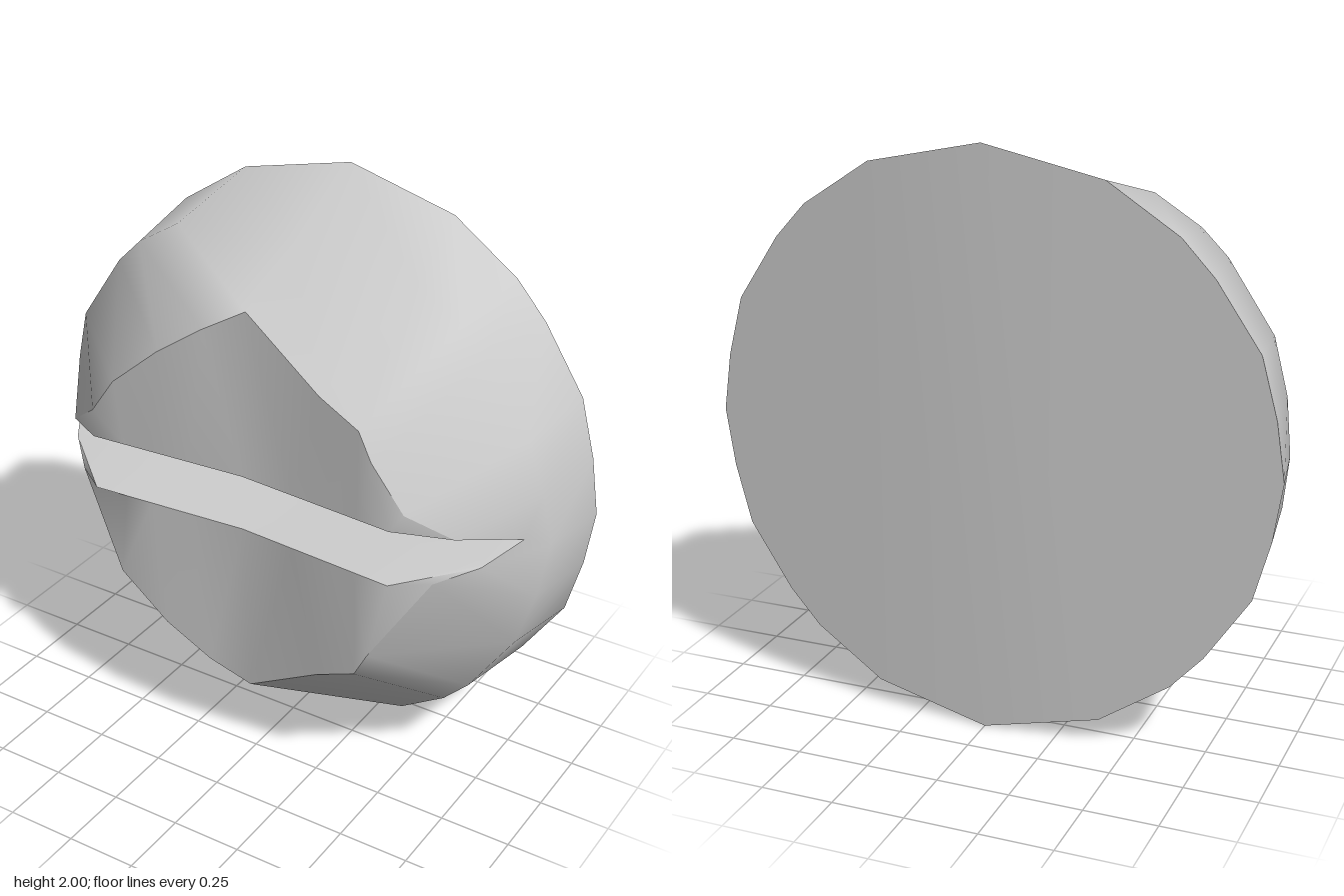
import * as THREE from 'three';
import { mergeVertices } from 'three/addons/utils/BufferGeometryUtils.js';

const material = new THREE.MeshStandardMaterial({ color: 0xcccccc, side: THREE.DoubleSide });

// Complete a quarter row (from +x to the centre line) with its mirror image.
const mirrorX = (row) => row.map(([x, y, z]) => [-x, y, z]);
const mirrorRow = (q) => [...q, ...mirrorX(q.slice(0, -1)).reverse()];
const flipY = (row) => row.map(([x, y, z]) => [x, 2 - y, z]);

// Smooth skin through rows of points; coincident points share a normal.
function skin(name, rows, flip = false) {
  const n = rows[0].length;
  const index = [];
  for (let r = 0; r < rows.length - 1; r++) {
    for (let c = 0; c < n - 1; c++) {
      const a = r * n + c, b = a + 1, d = a + n, e = d + 1;
      index.push(...(flip ? [a, d, b, b, d, e] : [a, b, d, b, e, d]));
    }
  }
  const raw = new THREE.BufferGeometry();
  raw.setAttribute('position', new THREE.Float32BufferAttribute(rows.flat(2), 3));
  raw.setIndex(index);
  const geometry = mergeVertices(raw);
  geometry.computeVertexNormals();
  const mesh = new THREE.Mesh(geometry, material);
  mesh.name = name;
  return mesh;
}

// Back rim, folded slightly along x = 0, and the widest ring of the dome.
const rim = mirrorRow([[0.985, 1], [0.955, 1.2], [0.9, 1.405], [0.75, 1.63], [0.64, 1.75], [0.4, 1.91], [0, 2]]
  .map(([x, y]) => [x, y, -0.355 + 0.056 * x]));
const waist = mirrorRow([[0.94, 1, -0.05], [0.915, 1.19, -0.02], [0.86, 1.38, 0], [0.7, 1.62, 0],
  [0.61, 1.71, 0], [0.45, 1.81, 0], [0, 1.843, 0]]);

// Outline of the front face above the slot, from +x to -x.
const crown = [[0.61, 1.2, 0.335], [0.5, 1.36, 0.35], [0.45, 1.455, 0.345], [0.3, 1.525, 0.33], [0, 1.715, 0.28],
  [-0.14, 1.635, 0.32], [-0.3, 1.525, 0.345], [-0.48, 1.37, 0.352], [-0.57, 1.24, 0.353]];

const slotEnd = [0.88, 1.04, 0.025];

// Front edge: the slot ends on both sides with the crown between them.
const edgeRow = (ends, middle) => [...ends, ...middle, ...mirrorX(ends).reverse()];

// Slot lip: straight across, with the front face folded along x = 0.
const lipRow = (ends, y) => mirrorRow([...ends, [0.57, y, 0.355],
  ...[0.45, 0.35, 0.2, 0].map((x) => [x, y, 0.315 + 0.07 * x])]);

// Row inside the slot at a fixed height and depth, meeting the slot ends.
const slotRow = (lip, y, z) => lip.map((p, i) => (i % (lip.length - 1) ? [p[0], y, z] : p));

// Full ring from an upper row and a lower row.
const ring = (upper, lower) => [...upper, ...lower.slice(0, -1).reverse()];

export function createModel() {
  const model = new THREE.Group();
  model.name = 'slottedDome';

  const upperEnds = [slotEnd, [0.74, 1.105, 0.24]];
  const lowerEnds = [slotEnd, [0.8, 0.98, 0.16]];
  const lowerCrown = flipY(crown);
  lowerCrown[0] = [0.69, 0.945, 0.28];
  lowerCrown[lowerCrown.length - 1] = [-0.68, 0.945, 0.28];

  const upperEdge = edgeRow(upperEnds, crown);
  const lowerEdge = edgeRow(lowerEnds, lowerCrown);
  const upperLip = lipRow(upperEnds, 1.14);
  const lowerLip = lipRow(lowerEnds, 0.94);

  model.add(
    skin('domeSide', [ring(rim, flipY(rim)), ring(waist, flipY(waist)), ring(upperEdge, lowerEdge)]),
    skin('backFace', [flipY(rim), rim]),
    skin('upperFrontFace', [upperEdge, upperLip]),
    skin('lowerFrontFace', [lowerEdge, lowerLip], true),
    skin('upperSlotWall', [upperLip, slotRow(upperLip, 1.045, 0.02)]),
    skin('lowerSlotWall', [lowerLip, slotRow(lowerLip, 0.99, 0.15), slotRow(lowerLip, 1.045, 0.02)], true),
  );
  return model;
}
